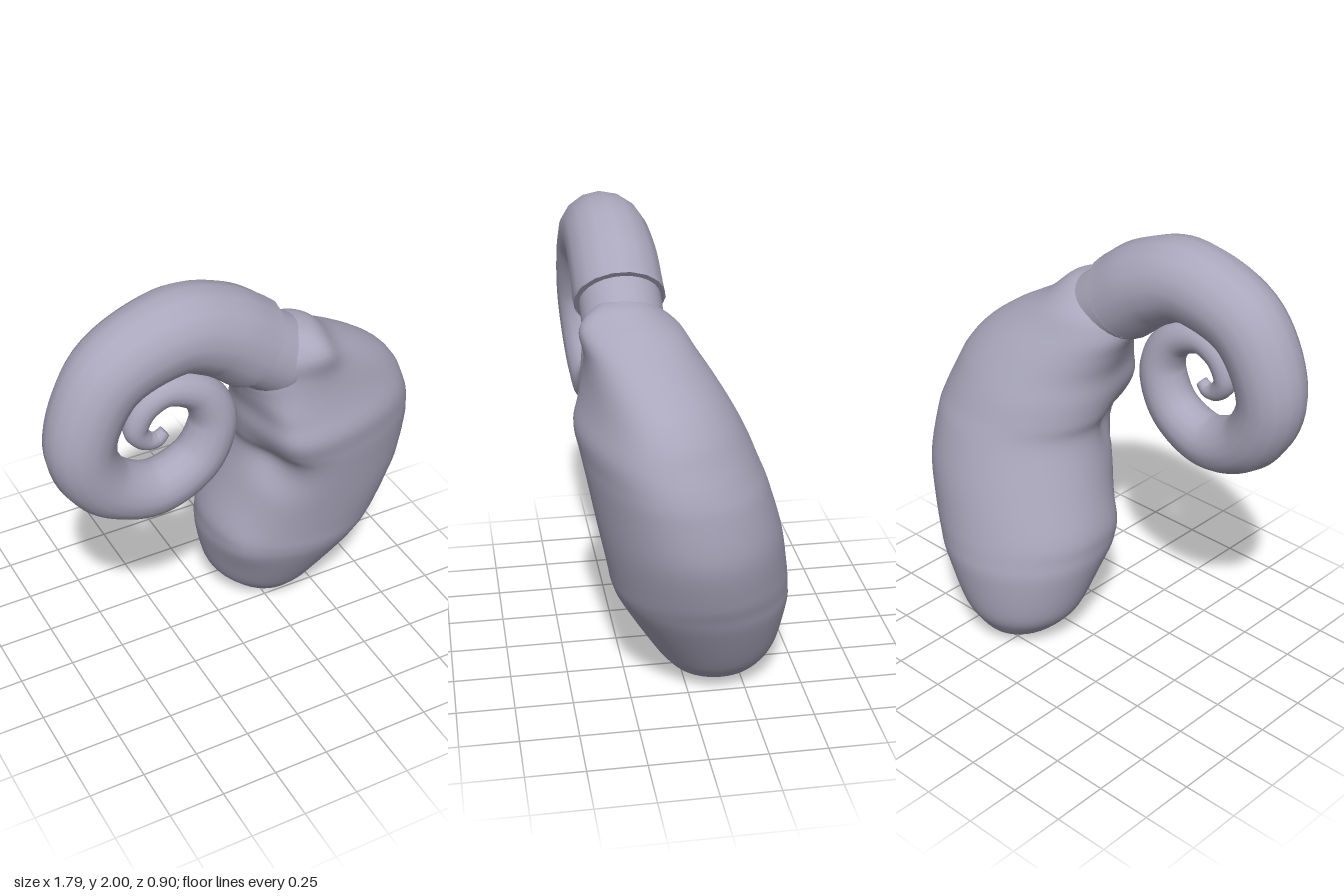
import * as THREE from 'three';
import { mergeVertices } from 'three/addons/utils/BufferGeometryUtils.js';

const V = (x, y, z) => new THREE.Vector3(x, y, z);
const spline = (pts) => new THREE.CatmullRomCurve3(pts, false, 'catmullrom', 0.5);

// Skin of closed rings; point(t, angle) gives a position
function loft(rings, sides, point) {
  const pos = [], idx = [];
  for (let i = 0; i <= rings; i++)
    for (let j = 0; j < sides; j++) pos.push(...point(i / rings, (j / sides) * Math.PI * 2).toArray());
  for (let i = 0; i < rings; i++)
    for (let j = 0; j < sides; j++) {
      const a = i * sides + j, b = i * sides + ((j + 1) % sides);
      idx.push(a, b, a + sides, b, b + sides, a + sides);
    }
  let g = new THREE.BufferGeometry();
  g.setAttribute('position', new THREE.Float32BufferAttribute(pos, 3));
  g.setIndex(idx);
  g = mergeVertices(g, 1e-5);
  g.computeVertexNormals();
  return g;
}

export function createModel() {
  const group = new THREE.Group();
  const skin = new THREE.MeshStandardMaterial({ color: 0xaaa7bc });
  skin.side = THREE.DoubleSide;
  const add = (name, geo) => {
    const m = new THREE.Mesh(geo, skin);
    m.name = name;
    group.add(m);
    return m;
  };

  // Body sections from top to bottom: y, left x, right x, front z, back z
  const sections = [
    [1.715, 0.22, 0.22, 0.22, 0.22], [1.69, 0.12, 0.31, 0.32, 0.12], [1.6, 0.0, 0.41, 0.385, 0.0],
    [1.5, -0.03, 0.58, 0.39, -0.07], [1.4, 0.0, 0.71, 0.4, -0.14], [1.3, 0.03, 0.79, 0.42, -0.2],
    [1.2, 0.035, 0.835, 0.445, -0.25], [1.1, 0.05, 0.87, 0.43, -0.29], [1.0, 0.07, 0.885, 0.41, -0.33],
    [0.8, 0.02, 0.885, 0.37, -0.39], [0.6, -0.04, 0.825, 0.33, -0.43], [0.5, -0.045, 0.78, 0.31, -0.445],
    [0.4, -0.035, 0.73, 0.265, -0.45], [0.2, 0.02, 0.61, 0.15, -0.42], [0.1, 0.09, 0.535, 0.08, -0.37],
    [0.03, 0.18, 0.44, 0.0, -0.3], [0, 0.31, 0.31, -0.16, -0.16],
  ];
  const leftFront = spline(sections.map(([y, l, , f]) => V(l, y, f)));
  const rightBack = spline(sections.map(([y, , r, , b]) => V(r, y, b)));

  // Soft lumps and dents: centre, radius, push
  const lumps = [
    [V(0.28, 1.61, 0.37), 0.09, V(0.01, 0.02, 0.035)],
    [V(0.14, 1.0, 0.28), 0.13, V(0.03, 0, -0.06)],
    [V(0.03, 0.5, 0.1), 0.14, V(0, 0, 0.04)],
  ];
  add('body', loft(80, 40, (t, a) => {
    const p = leftFront.getPoint(t), q = rightBack.getPoint(t);
    const rx = (q.x - p.x) / 2, rz = (p.z - q.z) / 2, s = Math.sin(a);
    // The front ridge leans to one side in the upper half
    const lean = s > 0 ? -0.45 * rx * s * s * THREE.MathUtils.smoothstep(p.y, 0.5, 1.2)
      * (1 - THREE.MathUtils.smoothstep(p.y, 1.3, 1.6)) * Math.abs(s) : 0;
    const v = V((p.x + q.x) / 2 + rx * Math.cos(a) + lean, Math.max(0, p.y), (p.z + q.z) / 2 + rz * s);
    const base = v.clone();
    for (const [c, r, push] of lumps) v.addScaledVector(push, Math.exp(-base.distanceToSquared(c) / (r * r)));
    return v;
  }));

  // Neck joining the body to the mouth of the coil
  const neckDir = V(-0.82, 0.57, 0).normalize();
  const neck = add('neck', new THREE.CapsuleGeometry(0.172, 0.2, 10, 28));
  neck.position.set(0.07, 1.615, 0.215);
  neck.quaternion.setFromUnitVectors(V(0, 1, 0), neckDir);

  // Coil path: x, y, radius, from the mouth to the tip
  const path = [
    [0.03, 1.65, 0.195], [-0.13, 1.765, 0.19], [-0.34, 1.822, 0.178], [-0.62, 1.715, 0.163],
    [-0.75, 1.44, 0.148], [-0.665, 1.21, 0.133], [-0.45, 1.105, 0.12], [-0.245, 1.185, 0.11],
    [-0.163, 1.36, 0.101], [-0.22, 1.51, 0.085], [-0.36, 1.573, 0.072], [-0.465, 1.525, 0.062],
    [-0.51, 1.43, 0.053], [-0.475, 1.362, 0.043], [-0.42, 1.343, 0.034], [-0.38, 1.372, 0.026],
  ];
  const coilPath = spline(path.map(([x, y, r]) => V(x, y, Math.min(0.26, 0.412 - r))));
  const coilRadius = spline(path.map(([, , r]) => V(r, 0, 0)));
  add('coil', loft(120, 16, (t, a) => {
    const u = Math.min(1, t / 0.992); // the last ring closes the tip
    const c = coilPath.getPoint(u), d = coilPath.getTangent(u).setZ(0).normalize();
    const r = t === 1 ? 0 : coilRadius.getPoint(u).x;
    return c.add(V(-d.y * Math.cos(a), d.x * Math.cos(a), Math.sin(a)).multiplyScalar(r));
  }));

  // Flat face of the coil mouth
  const mouth = add('coilMouth', new THREE.CircleGeometry(0.193, 16));
  mouth.position.copy(coilPath.getPoint(0));
  mouth.quaternion.setFromUnitVectors(V(0, 0, 1), coilPath.getTangent(0).setZ(0).normalize().negate());

  return group;
}
